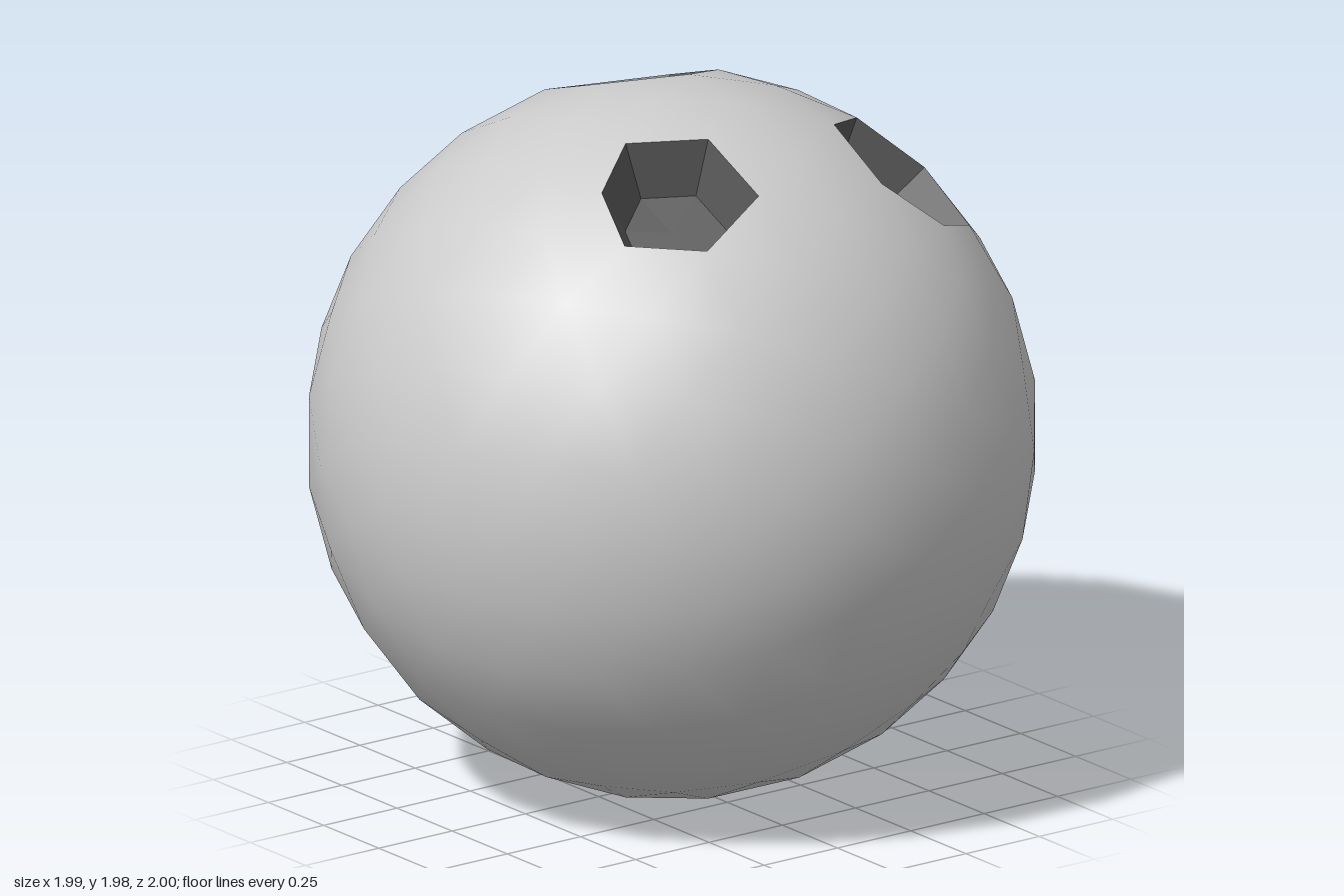
import * as THREE from 'three';

const RADIUS = 1, DEPTH = 0.155, TAPER = 0.665;

// Grid points of the geodesic sphere where a finger hole is sunk
const HOLES = {
  thumbHole: new THREE.Vector3(-0.307, 0.946, -0.107),
  frontFingerHole: new THREE.Vector3(0.403, 0.867, 0.296),
  backFingerHole: new THREE.Vector3(0.378, 0.765, -0.52),
};

function meshFrom(points, normals, color, name) {
  const geo = new THREE.BufferGeometry().setFromPoints(points);
  if (normals) geo.setAttribute('normal', new THREE.Float32BufferAttribute(normals.flatMap(n => n.toArray()), 3));
  else geo.computeVertexNormals();
  const mesh = new THREE.Mesh(geo, new THREE.MeshStandardMaterial({ color }));
  mesh.name = name;
  return mesh;
}

// Tapered six-sided pocket: walls from the rim down to a smaller floor
function buildHole(name, edges) {
  const centre = new THREE.Vector3();
  edges.forEach(([a]) => centre.addScaledVector(a, 1 / edges.length));
  const axis = centre.clone().normalize();
  const sink = p => p.clone().sub(centre).multiplyScalar(TAPER).add(centre).addScaledVector(axis, -DEPTH);
  const floor = sink(centre);
  const points = [];
  for (const [a, b] of edges) {
    const a2 = sink(a), b2 = sink(b);
    points.push(a, b, b2, a, b2, a2); // wall
    points.push(floor, a2, b2); // floor wedge
  }
  return meshFrom(points, null, 0x5a5a5a, name);
}

export function createModel() {
  const group = new THREE.Group();
  group.name = 'ball';

  // Geodesic sphere with its poles on the z axis
  const sphere = new THREE.IcosahedronGeometry(RADIUS, 4);
  sphere.rotateX(Math.atan(2 / (1 + Math.sqrt(5))));
  sphere.rotateZ(Math.PI / 2);
  const pos = sphere.attributes.position;

  // Sort triangles into the shell and the rims of the holes
  const shell = [];
  const rims = Object.fromEntries(Object.keys(HOLES).map(k => [k, []]));
  for (let i = 0; i < pos.count; i += 3) {
    const tri = [0, 1, 2].map(k => new THREE.Vector3().fromBufferAttribute(pos, i + k));
    let cut = false;
    for (const [name, spot] of Object.entries(HOLES)) {
      const k = tri.findIndex(p => p.distanceTo(spot) < 0.06);
      if (k < 0) continue;
      cut = true;
      rims[name].push([tri[(k + 1) % 3], tri[(k + 2) % 3]]);
    }
    if (!cut) shell.push(...tri);
  }

  group.add(meshFrom(shell, shell.map(p => p.clone().normalize()), 0xcccccc, 'shell'));
  for (const [name, edges] of Object.entries(rims)) group.add(buildHole(name, edges));

  // Stand on the ground
  const lift = -new THREE.Box3().setFromObject(group).min.y;
  group.children.forEach(m => m.geometry.translate(0, lift, 0));
  return group;
}
